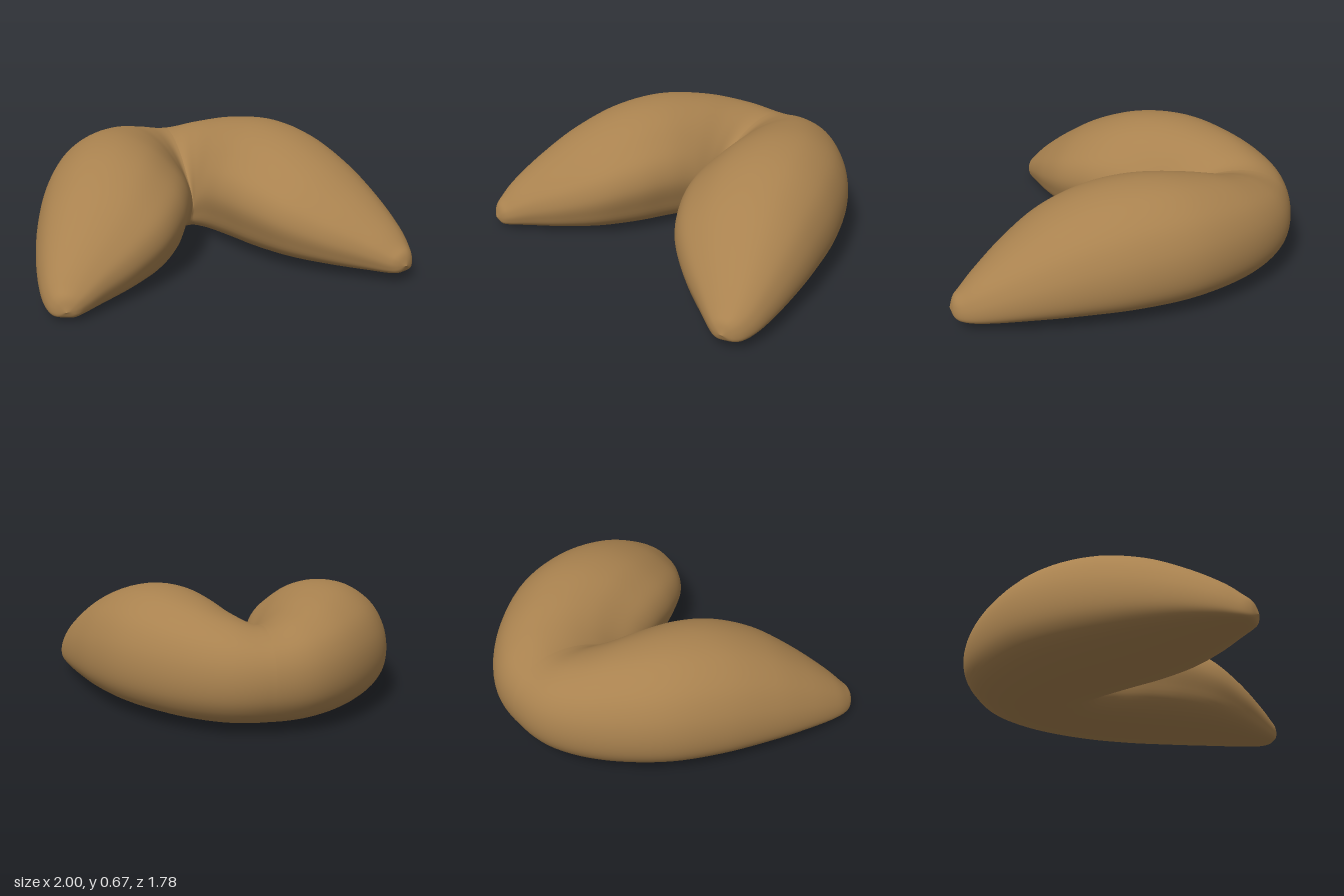
import * as THREE from 'three';

// Stations from the middle seam to the tip:
// inner edge x, z | outer edge x, z | height, lift, skew
const STATIONS = [
  [0, -0.06, 0, -0.89, 0.56, 0.02, 0.24],
  [0.01, -0.04, 0.25, -0.85, 0.585, 0.02, 0.13],
  [0.04, 0.04, 0.5, -0.69, 0.625, 0.02, 0.03],
  [0.09, 0.2, 0.73, -0.43, 0.65, 0.025, 0],
  [0.17, 0.38, 0.87, -0.13, 0.62, 0.03, 0],
  [0.3, 0.56, 0.95, 0.18, 0.52, 0.04, 0],
  [0.48, 0.7, 0.99, 0.45, 0.38, 0.05, 0],
  [0.68, 0.81, 1.0, 0.66, 0.245, 0.055, 0],
  [0.79, 0.865, 0.985, 0.78, 0.155, 0.06, 0],
  [0.84, 0.884, 0.955, 0.845, 0.1, 0.075, 0],
  [0.89, 0.888, 0.9, 0.888, 0, 0.115, 0],
];

// Cross-section as across, up at the seam, then across, up at the tip
const PROFILE = [
  [0, 0.46, 0, 0.5], [0.04, 0.6, 0.04, 0.72], [0.14, 0.74, 0.14, 0.86], [0.3, 0.91, 0.3, 0.96],
  [0.5, 1, 0.5, 1], [0.71, 0.98, 0.7, 0.95], [0.88, 0.85, 0.87, 0.78], [0.97, 0.68, 0.97, 0.52],
  [1, 0.47, 1, 0.28], [0.97, 0.27, 0.97, 0.11], [0.87, 0.11, 0.86, 0.02], [0.65, 0.01, 0.6, 0],
  [0.25, 0.01, 0.28, 0.01], [0.08, 0.11, 0.1, 0.13], [0.025, 0.29, 0.025, 0.31],
];

const spline = (points, closed = false) => new THREE.CatmullRomCurve3(points, closed, 'catmullrom');

function lobeGeometry(side, zScale, drop) {
  // A mirrored station before the seam keeps the back smooth
  const [, s1] = STATIONS;
  const stations = [[-s1[0], s1[1], -s1[2], ...s1.slice(3)], ...STATIONS];
  const inner = spline(stations.map(s => new THREE.Vector3(s[0], 0, s[1])));
  const outer = spline(stations.map(s => new THREE.Vector3(s[2], 0, s[3])));
  const shape = spline(stations.map(s => new THREE.Vector3(s[4], s[5], s[6])));
  const seamSection = spline(PROFILE.map(p => new THREE.Vector3(p[0], p[1], 0)), true);
  const tipSection = spline(PROFILE.map(p => new THREE.Vector3(p[2], p[3], 0)), true);
  const rows = 90, cols = 75, positions = [], index = [];
  const start = 1 / (stations.length - 1);

  for (let i = 0; i <= rows; i++) {
    const f = Math.sin((i / rows) * Math.PI / 2); // finer rows at the tip
    const t = start + (1 - start) * f;
    const a = inner.getPoint(t), b = outer.getPoint(t), s = shape.getPoint(t);
    for (let j = 0; j < cols; j++) {
      const p = seamSection.getPoint(j / cols).lerp(tipSection.getPoint(j / cols), f);
      const x = Math.max(0, a.x + (b.x - a.x) * p.x);
      const z = a.z + (b.z - a.z) * p.x;
      const skew = 1 - s.z * (1 - p.x);
      const y = s.y + p.y * Math.max(0, s.x) * skew - drop * f;
      positions.push(side * x, y, z > 0 ? z * zScale : z);
    }
  }
  for (let i = 0; i < rows; i++) {
    for (let j = 0; j < cols; j++) {
      const k = (j + 1) % cols;
      const p = i * cols + j, q = p + cols, r = i * cols + k, u = r + cols;
      if (side > 0) index.push(p, q, r, q, u, r);
      else index.push(p, r, q, q, r, u);
    }
  }
  const geometry = new THREE.BufferGeometry();
  geometry.setAttribute('position', new THREE.Float32BufferAttribute(positions, 3));
  geometry.setIndex(index);
  geometry.computeVertexNormals();
  return geometry;
}

export function createModel() {
  const group = new THREE.Group();
  group.name = 'foldedCookie';
  const crust = new THREE.MeshStandardMaterial({ color: 0xa9824f });
  crust.name = 'golden crust';

  // Two lobes meet at a crease; the right one is slightly shorter and lower
  const left = new THREE.Mesh(lobeGeometry(1, 1, 0), crust);
  left.name = 'leftLobe';
  const right = new THREE.Mesh(lobeGeometry(-1, 0.93, 0.04), crust);
  right.name = 'rightLobe';
  group.add(left, right);
  return group;
}
